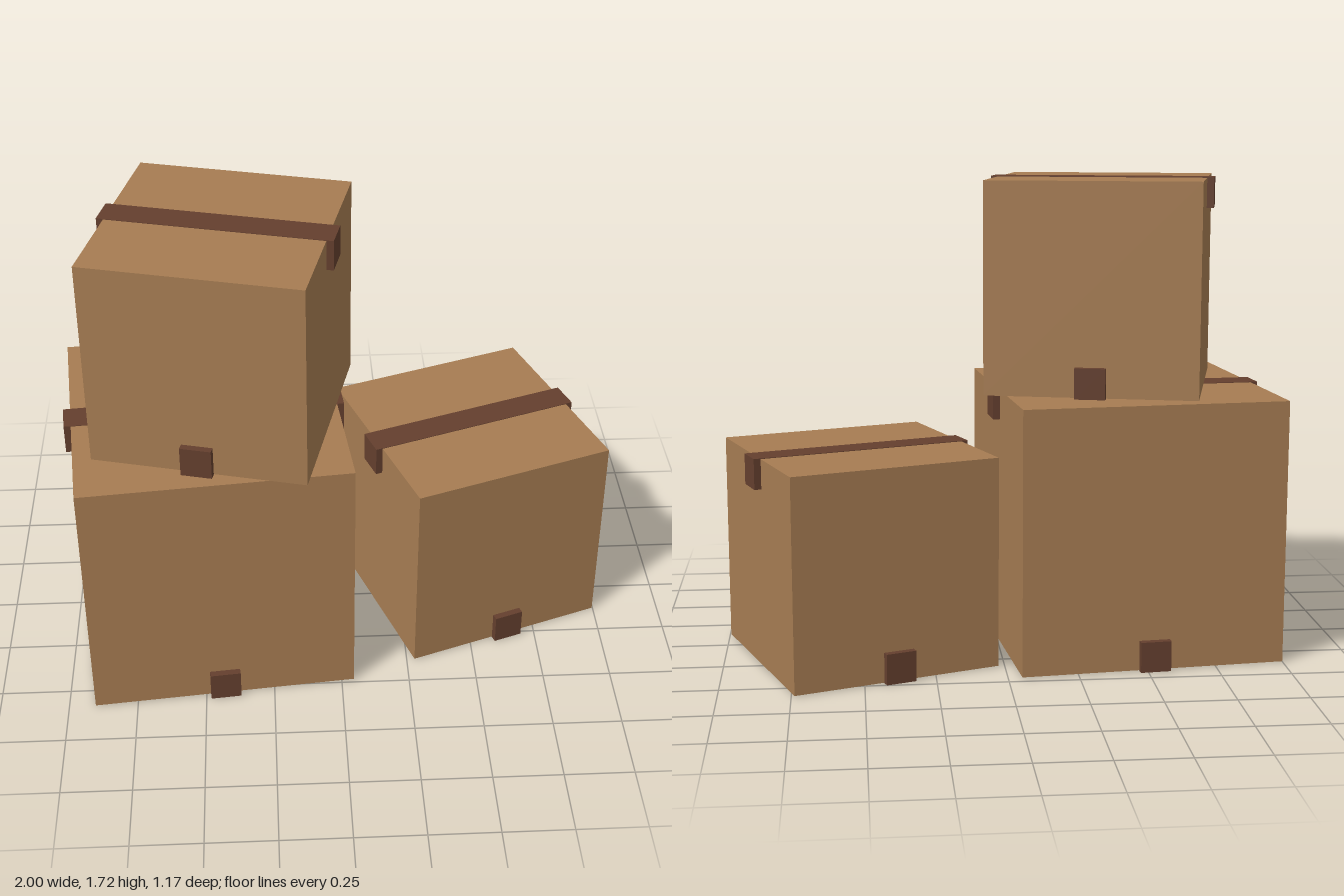
import * as THREE from 'three';

export function createModel() {
  const cardboard = new THREE.MeshStandardMaterial({ color: 0xa67c52 });
  cardboard.name = 'cardboard brown';
  const tape = new THREE.MeshStandardMaterial({ color: 0x643f2e });
  tape.name = 'tape dark brown';

  const TAPE = 0.11;     // width of the strip and length of its folded ends
  const OVERHANG = 0.025; // how far the ends stand out from the sides
  const PROUD = 0.002;   // strip lies just above the cardboard

  function addBox(parent, name, w, h, d, y, material) {
    const mesh = new THREE.Mesh(new THREE.BoxGeometry(w, h, d), material);
    mesh.name = name;
    mesh.position.y = y;
    parent.add(mesh);
  }

  // One cubic carton: tape runs side to side on top, front to back underneath
  function makeCarton(name, size, x, y, z, turn) {
    const carton = new THREE.Group();
    carton.name = name;
    const long = size + 2 * OVERHANG;
    addBox(carton, 'carton', size, size - 2 * PROUD, size, size / 2, cardboard);
    addBox(carton, 'topTape', long, TAPE, TAPE, size - TAPE / 2, tape);
    addBox(carton, 'bottomTape', TAPE, TAPE, long, TAPE / 2, tape);
    carton.position.set(x, y, z);
    carton.rotation.y = turn;
    return carton;
  }

  const model = new THREE.Group();
  model.name = 'cartonStack';
  model.add(
    makeCarton('largeCarton', 0.954, -0.477, 0, 0.058, 0.1),
    makeCarton('sideCarton', 0.762, 0.509, 0, -0.1, 0.345),
    makeCarton('upperCarton', 0.762, -0.398, 0.955, 0.091, -0.245)
  );
  return model;
}
